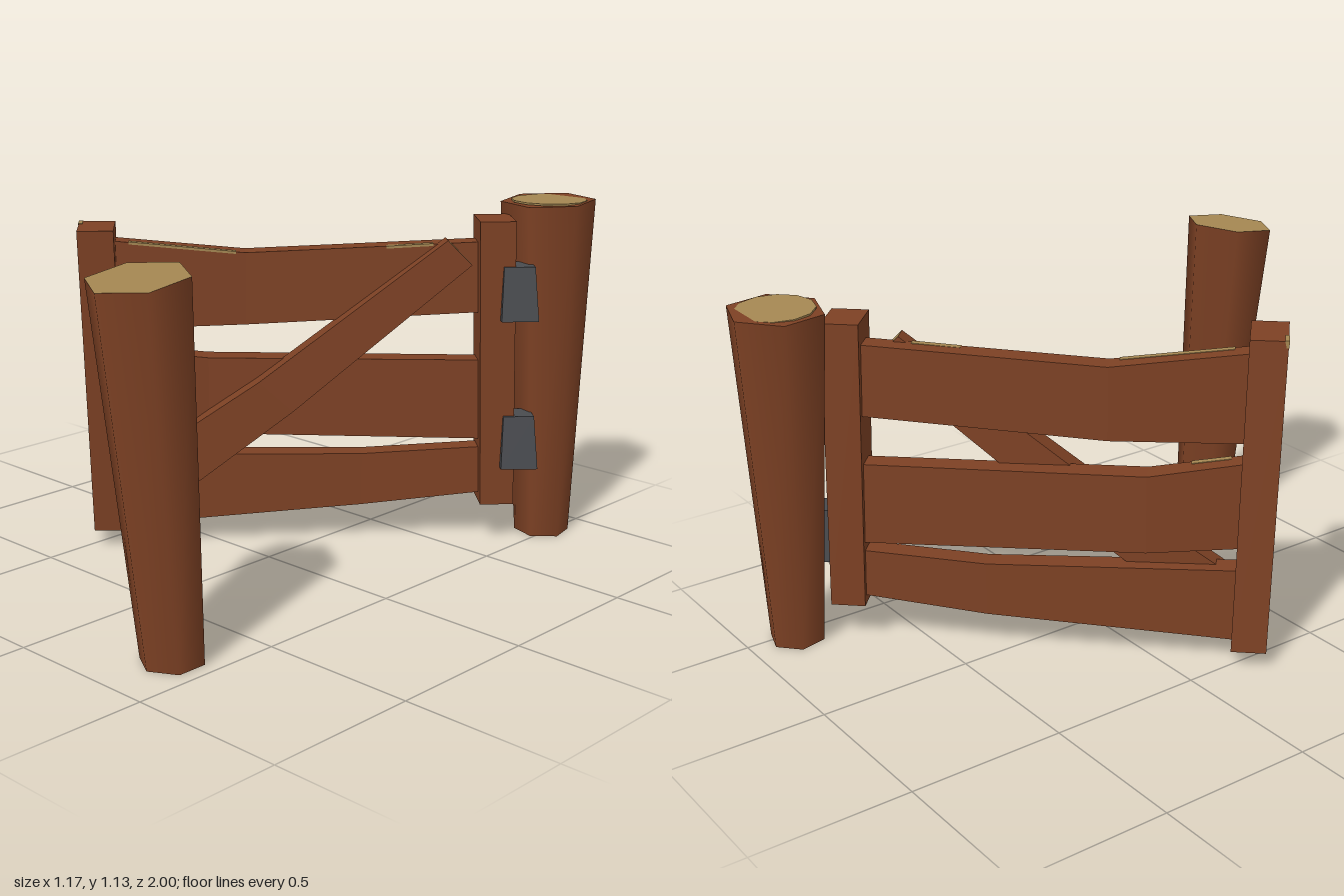
import * as THREE from 'three';

const mat = (name, color) => {
  const m = new THREE.MeshStandardMaterial({ color });
  m.name = name;
  return m;
};

// Faceted solid through four-cornered rings; group 0 = sides and start cap, group 1 = end cap
function loft(rings) {
  const pos = [];
  const quad = (a, b, c, d) => [a, b, c, a, c, d].forEach((p) => pos.push(...p));
  for (let i = 0; i < rings.length - 1; i++) {
    for (let j = 0; j < 4; j++) {
      const k = (j + 1) % 4;
      quad(rings[i][j], rings[i][k], rings[i + 1][k], rings[i + 1][j]);
    }
  }
  const [a, b, c, d] = rings[0];
  quad(d, c, b, a);
  const sides = pos.length / 3;
  quad(...rings[rings.length - 1]);
  const g = new THREE.BufferGeometry();
  g.setAttribute('position', new THREE.Float32BufferAttribute(pos, 3));
  g.computeVertexNormals();
  g.addGroup(0, sides, 0);
  g.addGroup(sides, 6, 1);
  return g;
}

// Upright: sections [y, x0, x1, z0, z1]
const upright = (sections) => loft(sections.map(([y, x0, x1, z0, z1]) =>
  [[x0, y, z0], [x0, y, z1], [x1, y, z1], [x1, y, z0]]));

// Plank: sections [x, y0, y1, z0, z1]
const plank = (sections) => loft(sections.map(([x, y0, y1, z0, z1]) =>
  [[x, y0, z0], [x, y1, z0], [x, y1, z1], [x, y0, z1]]));

export function createModel() {
  const wood = mat('brown wood', 0x7d4124);
  const cut = mat('cut wood', 0xa58752);
  const iron = mat('dark iron', 0x494b4f);
  const model = new THREE.Group();
  const add = (parent, name, geo, material) => {
    const mesh = new THREE.Mesh(geo, material);
    mesh.name = name;
    parent.add(mesh);
    return mesh;
  };

  // Six-sided leaning post, wider at the top, with a tilted top
  function post(name, bottom, top, rBottom, rTop, height, slopeX, slopeZ, turn, caps) {
    const g = new THREE.CylinderGeometry(rTop, rBottom, height, 6, 1, false, turn);
    const p = g.attributes.position;
    for (let i = 0; i < p.count; i++) {
      const x = p.getX(i), z = p.getZ(i), t = p.getY(i) > 0 ? 1 : 0;
      p.setXYZ(i,
        x + bottom[0] + (top[0] - bottom[0]) * t,
        t * (height + slopeX * x + slopeZ * z),
        z + bottom[1] + (top[1] - bottom[1]) * t);
    }
    return add(model, name, g, caps);
  }
  post('latchPost', [0.37, 0.765], [0.36, 0.855], 0.096, 0.148, 1.11, 0, -0.13, 0, [wood, cut, cut]);
  post('hingePost', [0.47, -0.838], [0.435, -0.847], 0.09, 0.153, 1.117, 0.02, -0.02, 0.22, [wood, wood, cut]);

  // Rounded cut face on the hinge post
  const face = add(model, 'hingePostCutFace', new THREE.CylinderGeometry(0.122, 0.122, 0.006, 12), cut);
  face.position.set(0.44, 1.118, -0.845);
  face.rotation.set(-0.02, 0, 0.02);

  // Open gate: local x runs along the gate, local z is its braced face
  const gate = new THREE.Group();
  gate.name = 'gate';
  gate.position.set(-0.47, 0, 0.27);
  gate.rotation.y = 0.82;
  model.add(gate);

  add(gate, 'latchStile', upright([
    [0.055, -0.05, 0.06, -0.115, 0.04],
    [1.065, -0.077, 0.037, -0.07, 0.108]]), [wood, wood]);
  add(gate, 'hingeStile', upright([
    [0.13, 1.22, 1.33, -0.08, 0.05],
    [1.075, 1.19, 1.305, -0.09, 0.055]]), [wood, wood]);

  // Bent boards
  const boards = {
    topBoard: [[0, 0.73, 1.02, -0.05, 0.02], [0.45, 0.735, 0.97, -0.085, -0.01], [1.26, 0.775, 1.005, -0.06, 0.01]],
    middleBoard: [[0, 0.385, 0.67, -0.05, 0.02], [0.33, 0.37, 0.625, -0.09, -0.01], [1.26, 0.345, 0.612, -0.06, 0.01]],
    bottomBoard: [[0, 0.065, 0.31, -0.06, 0.02], [0.83, 0.12, 0.296, -0.07, 0], [1.26, 0.165, 0.32, -0.06, 0.01]],
  };
  for (const [name, sections] of Object.entries(boards)) add(gate, name, plank(sections), [wood, wood]);

  // Diagonal brace: [upper x, upper y, lower x, lower y, back z, front z]
  const brace = [
    [0.06, 0.27, 0.17, 0.13, -0.02, 0.05],
    [0.49, 0.56, 0.6, 0.46, -0.02, 0.062],
    [1.09, 1.015, 1.17, 0.935, -0.01, 0.05],
  ].map(([ux, uy, lx, ly, z0, z1]) => [[lx, ly, z0], [ux, uy, z0], [ux, uy, z1], [lx, ly, z1]]);
  add(gate, 'brace', loft(brace), [wood, cut]);

  // Worn edges: [x, top y, front z] at both ends
  [
    [[0.08, 1.011, 0.014], [0.42, 0.973, -0.008]],
    [[0.08, 0.659, 0.013], [0.2, 0.643, 0.002]],
    [[0.9, 0.988, 0.002], [1.05, 0.996, 0.005]],
  ].forEach((ends) => add(gate, 'wornEdge', plank(ends.map(([x, y, z]) =>
    [x, y - 0.006, y + 0.002, z - 0.02, z + 0.002])), [cut, cut]));
  add(gate, 'wornCorner', upright([
    [1.045, -0.078, -0.07, -0.072, -0.03],
    [1.067, -0.079, -0.065, -0.072, -0.02]]), [cut, cut]);

  // Flared hinges between the stile and its post
  [[0.755, 0], [0.26, 0.015]].forEach(([y, dx], i) => add(gate, i ? 'lowerHinge' : 'upperHinge', upright([
    [y, 1.265 + dx, 1.385 + dx, -0.04, 0.08],
    [y + 0.175, 1.27 + dx, 1.37 + dx, -0.03, 0.063]]), [iron, iron]));

  return model;
}
